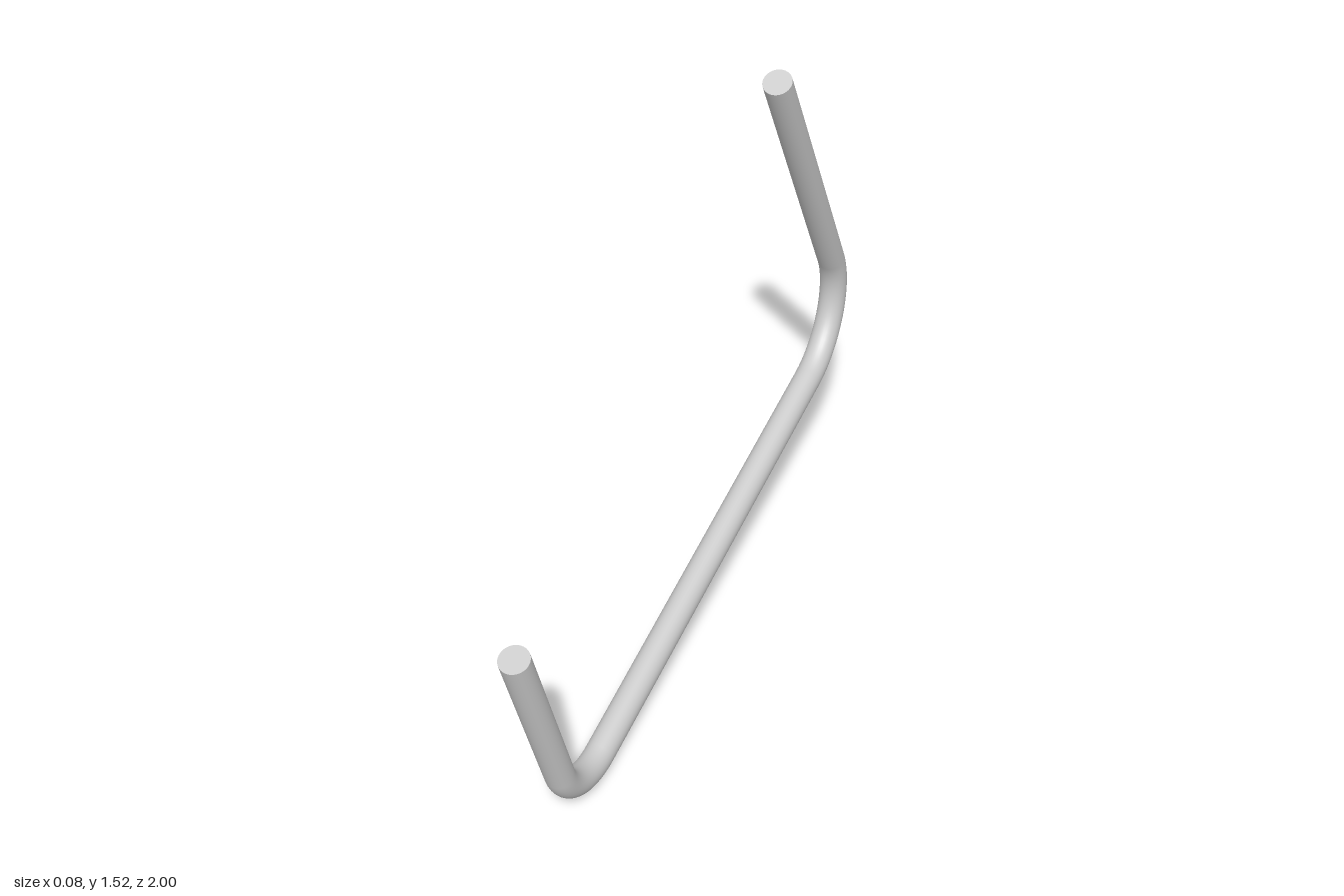
import * as THREE from 'three';

const TUBE_RADIUS = 0.04, SIDES = 32, BEND_STEPS = 16;
const v = (y, z) => new THREE.Vector3(0, y, z);

// Sample a circular bend that rounds the corner between two straight runs
function bend(from, corner, to, radius) {
  const u1 = from.clone().sub(corner).normalize();
  const u2 = to.clone().sub(corner).normalize();
  const half = u1.angleTo(u2) / 2;
  const centre = u1.clone().add(u2).normalize().multiplyScalar(radius / Math.sin(half)).add(corner);
  const start = u1.clone().multiplyScalar(radius / Math.tan(half)).add(corner).sub(centre);
  const axis = u2.clone().cross(u1).negate().normalize();
  if (axis.clone().cross(start).dot(u1) > 0) axis.negate();
  const stations = [];
  for (let i = 0; i <= BEND_STEPS; i++) {
    const r = start.clone().applyAxisAngle(axis, (Math.PI - 2 * half) * i / BEND_STEPS);
    stations.push({ point: centre.clone().add(r), tangent: axis.clone().cross(r).normalize() });
  }
  return stations;
}

// Sweep a circle along stations lying in the x = 0 plane
function sweep(stations) {
  const positions = [], normals = [], index = [];
  const side = new THREE.Vector3(1, 0, 0);
  stations.forEach(({ point, tangent }, i) => {
    const up = tangent.clone().cross(side);
    for (let j = 0; j <= SIDES; j++) {
      const a = j / SIDES * Math.PI * 2;
      const n = side.clone().multiplyScalar(Math.cos(a)).addScaledVector(up, Math.sin(a));
      normals.push(...n.toArray());
      positions.push(...n.multiplyScalar(TUBE_RADIUS).add(point).toArray());
      if (i > 0 && j > 0) {
        const d = i * (SIDES + 1) + j, c = d - 1, b = d - SIDES - 1, e = b - 1;
        index.push(e, b, c, b, d, c);
      }
    }
  });
  const geometry = new THREE.BufferGeometry();
  geometry.setAttribute('position', new THREE.Float32BufferAttribute(positions, 3));
  geometry.setAttribute('normal', new THREE.Float32BufferAttribute(normals, 3));
  geometry.setIndex(index);
  return geometry;
}

export function createModel() {
  const group = new THREE.Group();
  group.name = 'bentRod';
  const material = new THREE.MeshStandardMaterial({ color: 0xcccccc });
  const add = (name, geometry) => {
    const mesh = new THREE.Mesh(geometry, material);
    mesh.name = name;
    group.add(mesh);
    return mesh;
  };

  // Centreline: short front arm, sloping base, long back arm
  const frontEnd = v(0.717, 0.962), frontCorner = v(0.007, 0.731);
  const backCorner = v(0.445, -1.078), backEnd = v(1.507, -0.4985);
  const startDir = frontCorner.clone().sub(frontEnd).normalize();
  const endDir = backEnd.clone().sub(backCorner).normalize();
  add('rod', sweep([
    { point: frontEnd, tangent: startDir },
    ...bend(frontEnd, frontCorner, backCorner, 0.18),
    ...bend(frontCorner, backCorner, backEnd, 0.235),
    { point: backEnd, tangent: endDir },
  ]));

  // Flat end caps
  const cap = (name, point, outward) => {
    const mesh = add(name, new THREE.CircleGeometry(TUBE_RADIUS, SIDES));
    mesh.position.copy(point);
    mesh.quaternion.setFromUnitVectors(new THREE.Vector3(0, 0, 1), outward);
  };
  cap('frontCap', frontEnd, startDir.clone().negate());
  cap('backCap', backEnd, endDir);
  return group;
}
